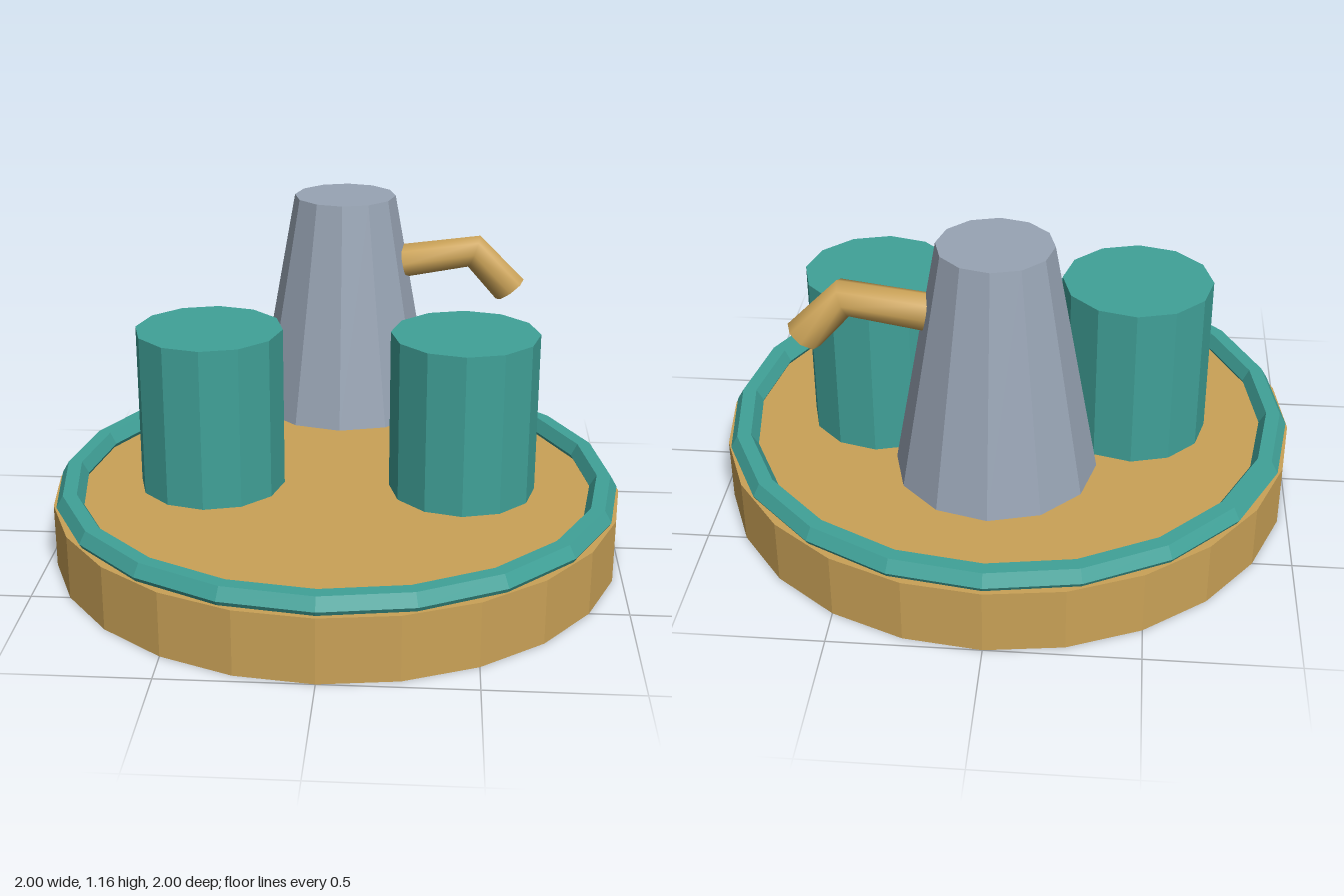
import * as THREE from 'three';

const paint = (color, extra = {}) => {
  const material = new THREE.MeshStandardMaterial(extra);
  material.color.set(color);
  return material;
};
const tan = paint(0xcaa257, { flatShading: true });
const teal = paint(0x40a198, { flatShading: true });
const grey = paint(0x98a4b4, { flatShading: true });
const spoutTan = paint(0xcaa257, { side: THREE.DoubleSide });

// Open bent tube lofted through rings [x, y, heading]
function bentTube(rings, radius, sides) {
  const positions = [], index = [];
  rings.forEach(([x, y, heading], r) => {
    for (let i = 0; i < sides; i++) {
      const a = (i / sides) * Math.PI * 2;
      const up = Math.cos(a) * radius;
      positions.push(x - Math.sin(heading) * up, y + Math.cos(heading) * up, Math.sin(a) * radius);
      if (r === 0) continue;
      const j = (i + 1) % sides, p = (r - 1) * sides, q = r * sides;
      index.push(p + i, p + j, q + i, p + j, q + j, q + i);
    }
  });
  const geometry = new THREE.BufferGeometry();
  geometry.setAttribute('position', new THREE.Float32BufferAttribute(positions, 3));
  geometry.setIndex(index);
  geometry.computeVertexNormals();
  return geometry;
}

export function createModel() {
  const model = new THREE.Group();
  model.name = 'teaTray';

  const add = (name, geometry, material, x, y, z) => {
    const mesh = new THREE.Mesh(geometry, material);
    mesh.name = name;
    mesh.position.set(x, y, z);
    model.add(mesh);
    return mesh;
  };

  // Round tray with a raised rim
  add('tray', new THREE.CylinderGeometry(1, 1, 0.225, 24), tan, 0, 0.1125, 0);
  const rim = add('trayRim', new THREE.TorusGeometry(0.945, 0.048, 6, 20), teal, 0, 0.241, 0);
  rim.rotation.x = -Math.PI / 2;

  // Pair of cups
  for (const side of [-1, 1]) {
    add(side > 0 ? 'leftCup' : 'rightCup',
      new THREE.CylinderGeometry(0.258, 0.258, 0.575, 12), teal, side * 0.445, 0.5125, 0);
  }

  // Tapered pot, hovering just above the tray, and its bent spout
  add('pot', new THREE.CylinderGeometry(0.185, 0.33, 0.8, 12), grey, 0, 0.765, -0.485);
  add('spout', bentTube([[0.215, 0.92, 0.2], [0.477, 0.96, -0.34], [0.613, 0.817, -0.92]], 0.063, 8),
    spoutTan, 0, 0, -0.485);

  return model;
}
